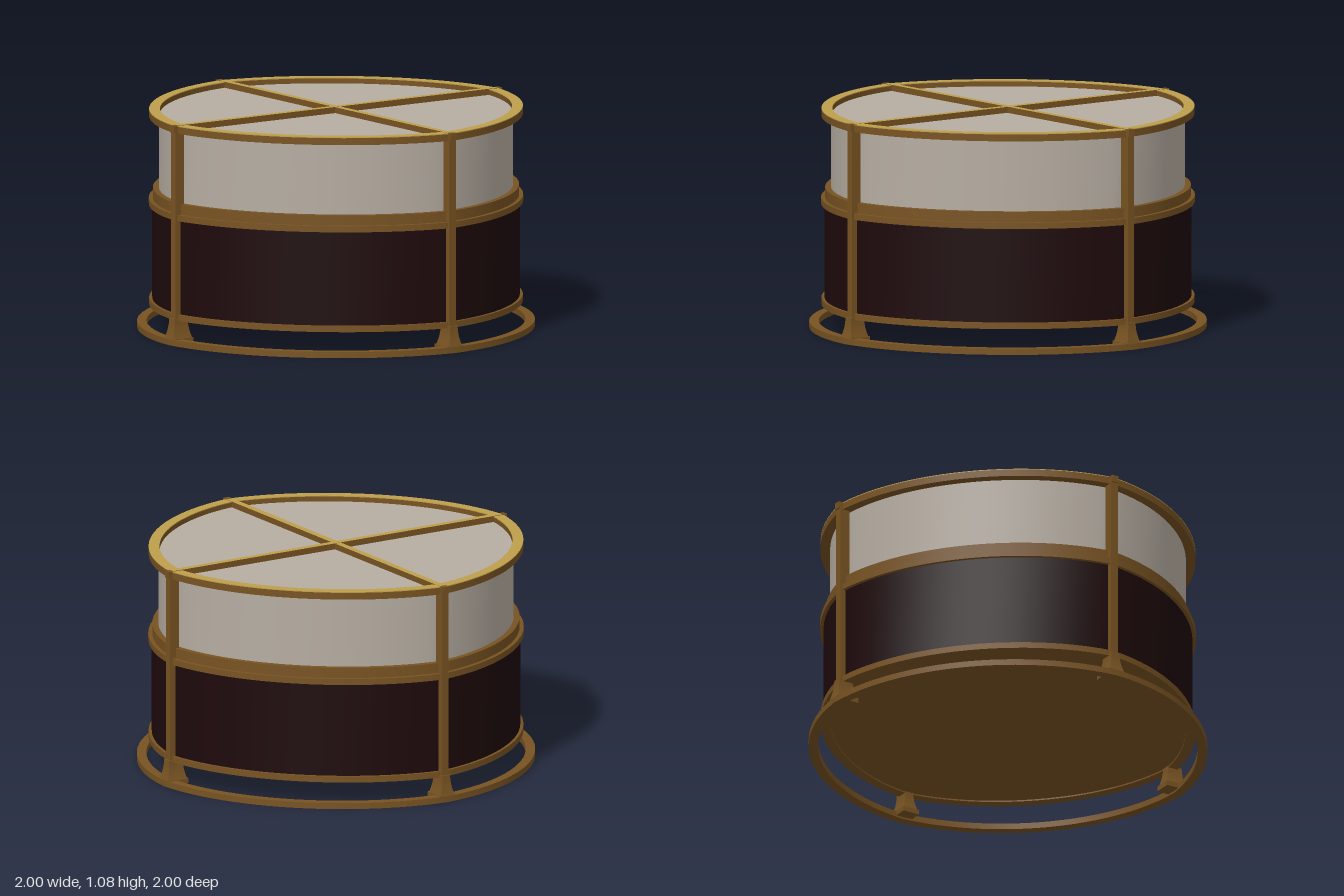
import * as THREE from 'three';
import { toCreasedNormals } from 'three/addons/utils/BufferGeometryUtils.js';

const SEGMENTS = 96;

// Plan outline: four slightly flattened arcs that meet at the legs
function flattenQuarters(geometry, amount) {
  const p = geometry.attributes.position;
  for (let i = 0; i < p.count; i++) {
    const x = p.getX(i), z = p.getZ(i);
    const rr = x * x + z * z;
    if (rr < 1e-6) continue;
    const s = 1 - amount * 2 * Math.abs(x * z) / rr;
    p.setX(i, x * s);
    p.setZ(i, z * s);
  }
  return toCreasedNormals(geometry, 0.6);
}

export function createModel() {
  const model = new THREE.Group();
  model.name = 'roundDrumTable';

  const material = (name, color) => {
    const m = new THREE.MeshStandardMaterial({ color });
    m.name = name;
    return m;
  };
  const bronze = material('bronze', 0x785322);
  const gold = material('gold', 0xbe9f4a);
  const stone = material('pale stone', 0xb6ada2);
  const maroon = material('dark maroon', 0x1e090b);

  const add = (name, geometry, mat, x = 0, y = 0, z = 0, parent = model) => {
    const mesh = new THREE.Mesh(geometry, mat);
    mesh.name = name;
    mesh.position.set(x, y, z);
    parent.add(mesh);
  };

  // Ring with a rectangular section
  const ring = (name, inner, outer, y0, y1, mat, flat = 0.06) => {
    const section = [[inner, y0], [outer, y0], [outer, y1], [inner, y1], [inner, y0]]
      .map(([r, y]) => new THREE.Vector2(r, y));
    add(name, flattenQuarters(new THREE.LatheGeometry(section, SEGMENTS), flat), mat);
  };

  // Solid drum
  const drum = (name, radius, y0, y1, mat) => {
    const geometry = new THREE.CylinderGeometry(radius, radius, y1 - y0, SEGMENTS);
    add(name, flattenQuarters(geometry, 0.06), mat, 0, (y0 + y1) / 2, 0);
  };

  // Stacked body
  drum('bottomPlate', 0.94, 0.125, 0.145, bronze);
  drum('lowerDrum', 0.946, 0.14, 0.62, maroon);
  drum('upperDrum', 0.912, 0.62, 1.05, stone);

  // Metal hoops
  ring('baseRing', 0.952, 1, 0, 0.03, bronze, 0.035);
  ring('lowerHoop', 0.91, 0.962, 0.118, 0.148, bronze);
  ring('middleHoop', 0.9, 0.964, 0.61, 0.64, bronze);
  ring('middleLedge', 0.9, 0.943, 0.64, 0.69, bronze);
  ring('topHoop', 0.906, 0.962, 1.04, 1.074, bronze);
  ring('topHoopFace', 0.906, 0.962, 1.074, 1.078, gold);

  // Crossed bars over the top, with bright upper faces
  const barMaterials = [bronze, bronze, gold, bronze, bronze, bronze];
  add('crossBarX', new THREE.BoxGeometry(1.91, 0.036, 0.034), barMaterials, 0, 1.061, 0);
  add('crossBarZ', new THREE.BoxGeometry(0.034, 0.036, 1.91), barMaterials, 0, 1.062, 0);

  // Foot: a box pinched towards its top
  const footGeometry = new THREE.BoxGeometry(0.08, 0.1, 0.11, 1, 4, 1);
  const p = footGeometry.attributes.position;
  for (let i = 0; i < p.count; i++) {
    const t = p.getY(i) / 0.1 + 0.5;
    const pinch = 1 - (1 - t) ** 2;
    p.setX(i, p.getX(i) * (1 - 0.45 * pinch));
    p.setZ(i, p.getZ(i) * (1 - 0.28 * pinch));
  }
  footGeometry.computeVertexNormals();

  // Four posts with feet, one at each quarter
  for (let i = 0; i < 4; i++) {
    const leg = new THREE.Group();
    leg.name = 'leg' + (i + 1);
    leg.rotation.y = i * Math.PI / 2;
    model.add(leg);
    add('post', new THREE.BoxGeometry(0.038, 0.97, 0.052), bronze, 0, 0.591, 0.948, leg);
    add('postTip', new THREE.BoxGeometry(0.034, 0.035, 0.03), bronze, 0, 1.062, 0.966, leg);
    add('foot', footGeometry, bronze, 0, 0.08, 0.943, leg);
    add('footPad', new THREE.BoxGeometry(0.09, 0.025, 0.11), bronze, 0, 0.022, 0.94, leg);
  }
  return model;
}
